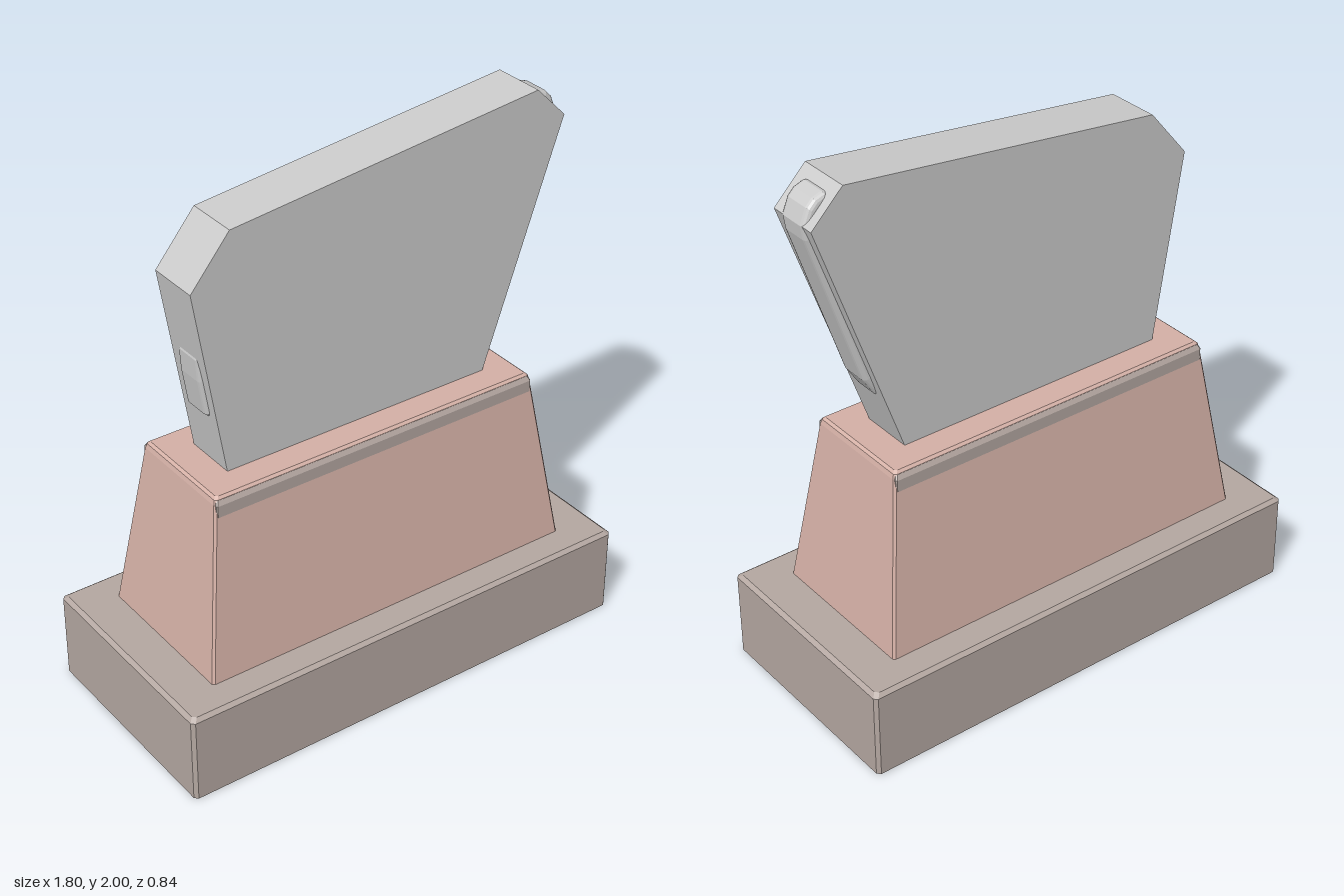
import * as THREE from 'three';

const material = (color) =>
  new THREE.MeshStandardMaterial({ color, flatShading: true, side: THREE.DoubleSide });

// Stack of rectangles [halfX, halfZ, y] with cut corners, capped on top, open below
function loft(sections, cut) {
  const positions = [];
  const index = [];
  for (const [x, z, y] of sections) {
    const ring = [
      [x, z - cut], [x, cut - z], [x - cut, -z], [cut - x, -z],
      [-x, cut - z], [-x, z - cut], [cut - x, z], [x - cut, z],
    ];
    for (const [px, pz] of ring) positions.push(px, y, pz);
  }
  for (let s = 0; s < sections.length - 1; s++) {
    for (let i = 0; i < 8; i++) {
      const a = s * 8 + i;
      const b = s * 8 + ((i + 1) % 8);
      index.push(a, b, b + 8, a, b + 8, a + 8);
    }
  }
  const top = (sections.length - 1) * 8;
  for (let i = 1; i < 7; i++) index.push(top, top + i, top + i + 1);
  const geometry = new THREE.BufferGeometry();
  geometry.setAttribute('position', new THREE.Float32BufferAttribute(positions, 3));
  geometry.setIndex(index);
  const flat = geometry.toNonIndexed();
  flat.computeVertexNormals();
  return flat;
}

// Upright plate cut from an outline, centred on z = 0, with optional rounded rim
function plate(points, thickness, bevel = 0) {
  const shape = new THREE.Shape(points.map(([x, y]) => new THREE.Vector2(x, y)));
  const depth = thickness - 2 * bevel;
  const geometry = new THREE.ExtrudeGeometry(shape, {
    depth,
    bevelEnabled: bevel > 0,
    bevelThickness: bevel,
    bevelSize: bevel,
    bevelOffset: -bevel,
    bevelSegments: 4,
  });
  return geometry.translate(0, 0, -depth / 2);
}

export function createModel() {
  const group = new THREE.Group();
  const add = (name, geometry, color) => {
    const mesh = new THREE.Mesh(geometry, material(color));
    mesh.name = name;
    group.add(mesh);
  };
  const stone = 0xb4a7a1;
  const clay = 0xd4b0a6;
  const grey = 0xcccccc;

  // Hollow plinth, open underneath
  add('plinth', loft([[0.9, 0.42, 0], [0.9, 0.42, 0.32], [0.885, 0.405, 0.332]], 0.012), stone);

  // Tapered pedestal with a softened top edge
  add('pedestal', loft([
    [0.743, 0.303, 0.33], [0.655, 0.215, 0.965], [0.65, 0.21, 0.982], [0.64, 0.2, 0.99],
  ], 0.008), clay);

  // Trim band showing on the front and back of the pedestal
  add('trimBand', loft([
    [0.645, 0.2, 0.915], [0.652, 0.221, 0.917], [0.652, 0.221, 0.965], [0.645, 0.211, 0.981],
  ], 0.004), stone);

  // Upright slab with chamfered upper corners
  add('slab', plate([
    [-0.53, 0.985], [0.53, 0.985], [0.845, 1.88], [0.725, 2], [-0.495, 1.865], [-0.645, 1.685],
  ], 0.2), grey);

  // Rounded core that shows as a rib on one edge and a small bump on the other
  add('innerCore', plate([
    [-0.577, 1.2], [-0.54, 1.17], [0.57, 1.17], [0.605, 1.19], [0.65, 1.26], [0.84, 1.83],
    [0.847, 1.88], [0.825, 1.935], [0.8, 1.96], [0.765, 1.972], [0.7, 1.96],
    [-0.5, 1.75], [-0.603, 1.41], [-0.598, 1.33],
  ], 0.13, 0.022), grey);

  return group;
}
